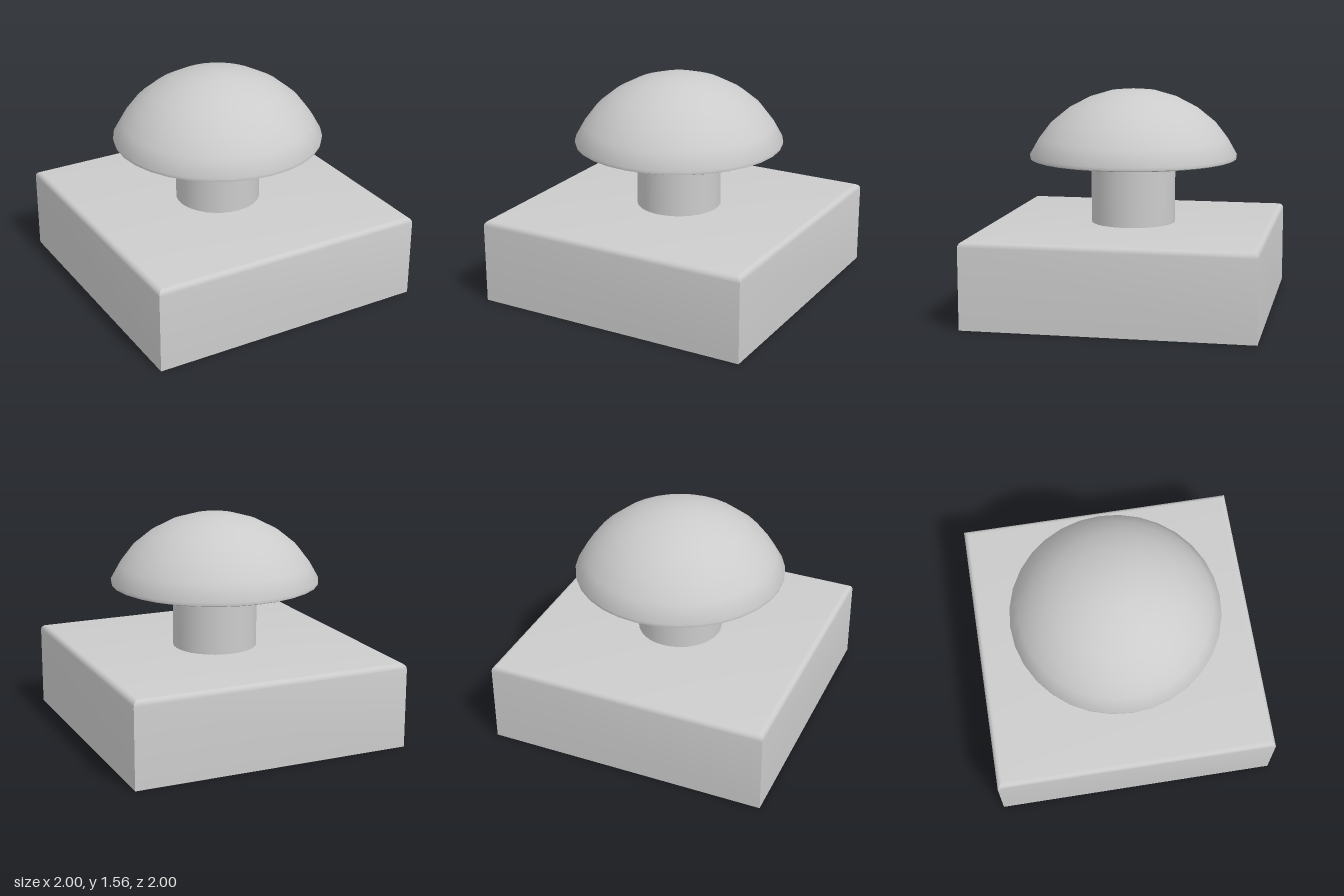
import * as THREE from 'three';
import { toCreasedNormals } from 'three/addons/utils/BufferGeometryUtils.js';

const material = new THREE.MeshStandardMaterial({ color: 0xcccccc });

// Revolved part from a bottom-to-top profile of [radius, height] points
function turned(name, profile, sides, crease) {
  const points = profile.map(([r, y]) => new THREE.Vector2(r, y));
  const geometry = toCreasedNormals(new THREE.LatheGeometry(points, sides), crease);
  const mesh = new THREE.Mesh(geometry, material);
  mesh.name = name;
  return mesh;
}

export function createModel() {
  const group = new THREE.Group();
  group.name = 'pushButton';

  // Square base: a four-sided turning with a rounded top edge
  const top = 0.605, bevel = 0.04, steps = 4;
  const baseProfile = [[0, 0], [1, 0]];
  for (let i = 0; i <= steps; i++) {
    const a = (i / steps) * Math.PI / 2;
    baseProfile.push([1 - bevel + bevel * Math.cos(a), top - bevel + bevel * Math.sin(a)]);
  }
  baseProfile.push([0, top]);
  const base = turned('base', baseProfile.map(([r, y]) => [r * Math.SQRT2, y]), 4, 0.5);
  base.rotation.y = Math.PI / 4;
  group.add(base);

  // Round stem between base and cap
  const stem = new THREE.Mesh(new THREE.CylinderGeometry(0.3, 0.3, 0.48, 32), material);
  stem.name = 'stem';
  stem.position.y = 0.83;
  group.add(stem);

  // Domed cap with a flat underside and a small rounded rim
  group.add(turned('cap', [
    [0, 1.06], [0.72, 1.06], [0.737, 1.067], [0.74, 1.09], [0.675, 1.205],
    [0.587, 1.32], [0.46, 1.423], [0.313, 1.5], [0.162, 1.545], [0, 1.56],
  ], 32, 0.7));

  return group;
}
